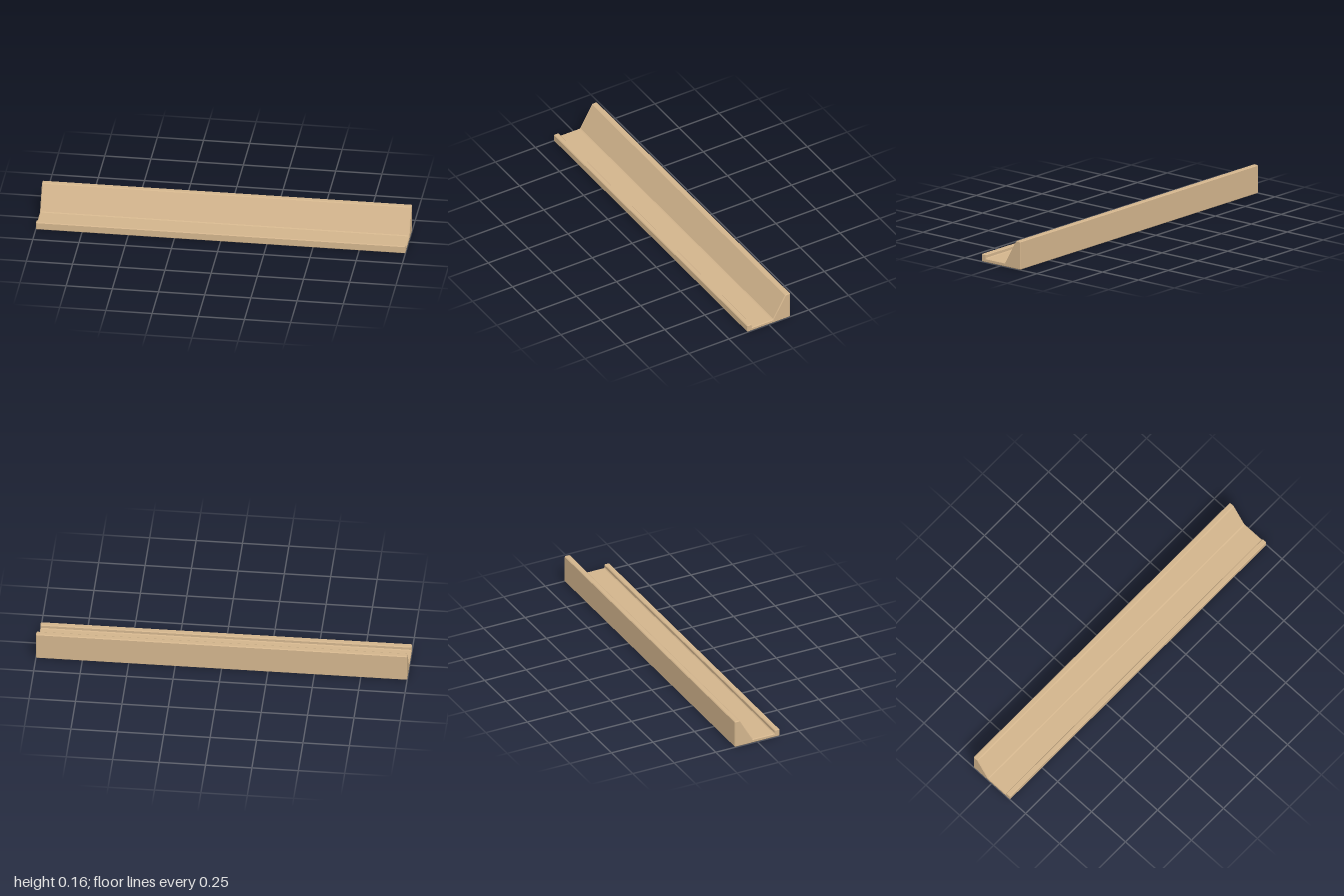
import * as THREE from 'three';

const HALF = 1;       // half length along x
const BEVEL = 0.004;  // chamfer on every edge

// Cross-section seen from +x: u = -z (towards the back), y up, counter-clockwise.
const PROFILE = [
  [-0.135, 0], [0.135, 0],               // base
  [0.135, 0.157], [0.105, 0.157],        // back wall and its top
  [0.027, 0.021], [-0.105, 0.021],       // sloping rest, tray floor
  [-0.105, 0.043], [-0.135, 0.043],      // front lip
].map(([u, y]) => new THREE.Vector2(u, y));

// Straight bar with chamfered long edges and chamfered ends.
function chamferedBar(profile, half, w) {
  const n = profile.length;
  const cap = [], ring = [];
  profile.forEach((p, i) => {
    const d1 = p.clone().sub(profile[(i + n - 1) % n]).normalize();
    const d2 = profile[(i + 1) % n].clone().sub(p).normalize();
    const n1 = new THREE.Vector2(-d1.y, d1.x);
    const n2 = new THREE.Vector2(-d2.y, d2.x);
    // inset corner of the end face
    cap.push(p.clone().addScaledVector(n1.clone().add(n2), w / (1 + n1.dot(n2))));
    // two points where the chamfer meets the neighbouring sides
    ring.push(p.clone().addScaledVector(d1, -w), p.clone().addScaledVector(d2, w));
  });

  const pos = [];
  const tri = (...pts) => pts.forEach(([x, p]) => pos.push(x, p.y, -p.x));
  const m = ring.length;

  for (const s of [1, -1]) {
    const end = (p) => [s * half, p];
    const side = (p) => [s * (half - w), p];
    const face = (a, b, c) => (s > 0 ? tri(a, b, c) : tri(a, c, b));
    // end face
    for (const [a, b, c] of THREE.ShapeUtils.triangulateShape(cap, [])) {
      face(end(cap[a]), end(cap[b]), end(cap[c]));
    }
    // chamfer around the end
    for (let i = 0; i < n; i++) {
      const j = (i + 1) % n;
      const a = side(ring[2 * i + 1]), b = side(ring[2 * j]);
      face(a, b, end(cap[j]));
      face(a, end(cap[j]), end(cap[i]));
      face(side(ring[2 * i]), a, end(cap[i]));
    }
  }
  // long sides and long chamfers
  const L = half - w;
  for (let i = 0; i < m; i++) {
    const a = ring[i], b = ring[(i + 1) % m];
    tri([L, a], [-L, a], [-L, b]);
    tri([L, a], [-L, b], [L, b]);
  }

  const geo = new THREE.BufferGeometry();
  geo.setAttribute('position', new THREE.Float32BufferAttribute(pos, 3));
  geo.computeVertexNormals();
  return geo;
}

export function createModel() {
  const group = new THREE.Group();
  group.name = 'rackRail';

  const tanWood = new THREE.MeshStandardMaterial({ color: 0xd2b48c });
  tanWood.name = 'tanWood';

  const rail = new THREE.Mesh(chamferedBar(PROFILE, HALF, BEVEL), tanWood);
  rail.name = 'rail';
  group.add(rail);
  return group;
}
